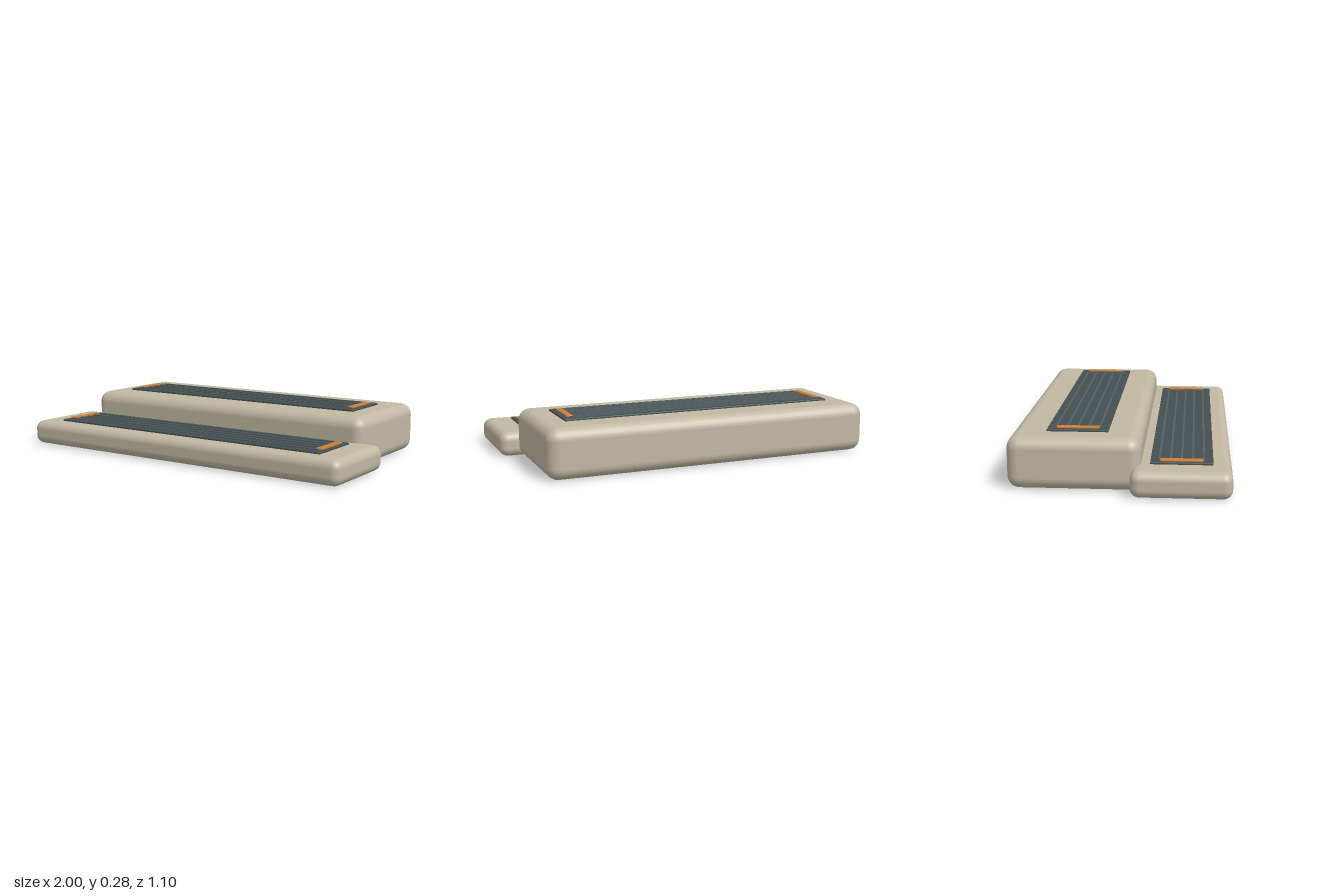
import * as THREE from 'three';
import { RoundedBoxGeometry } from 'three/addons/geometries/RoundedBoxGeometry.js';

const material = (color) => new THREE.MeshStandardMaterial({ color });

const stone = material(0xc2b8a3);
const rubber = material(0x455052);
const ribGrey = material(0x566264);
const orange = material(0xcc7f36);

function add(parent, name, geometry, mat, x, y, z) {
  const mesh = new THREE.Mesh(geometry, mat);
  mesh.name = name;
  mesh.position.set(x, y, z);
  parent.add(mesh);
}

// One rounded step with a ribbed tread pad and an orange marker at each end
function makeStep(name, { width, height, depth, z, radius, padWidth, padZ, markerX }) {
  const step = new THREE.Group();
  step.name = name;

  add(step, 'stepBody', new RoundedBoxGeometry(width, height, depth, 4, radius), stone, 0, height / 2, z);

  // Tread pad, slightly sunk into the body
  const padTop = height + 0.01;
  add(step, 'treadPad', new RoundedBoxGeometry(padWidth, 0.014, 0.305, 2, 0.004), rubber, 0, padTop - 0.007, padZ);

  // Raised grip ribs running along the pad
  for (let i = -2; i <= 2; i++) {
    add(step, 'gripRib', new THREE.BoxGeometry(markerX * 2, 0.007, 0.009), ribGrey,
      0, padTop + 0.0025, padZ + i * 0.054);
  }

  // End markers
  for (const side of [-1, 1]) {
    add(step, side > 0 ? 'leftMarker' : 'rightMarker',
      new RoundedBoxGeometry(0.034, 0.01, 0.21, 2, 0.003), orange, side * markerX, padTop + 0.004, padZ);
  }
  return step;
}

export function createModel() {
  const model = new THREE.Group();
  model.name = 'doubleStep';
  model.add(
    makeStep('lowerStep', {
      width: 2, height: 0.132, depth: 0.49, z: 0.303, radius: 0.046,
      padWidth: 1.7, padZ: 0.303, markerX: 0.817,
    }),
    makeStep('upperStep', {
      width: 1.8, height: 0.263, depth: 0.656, z: -0.22, radius: 0.062,
      padWidth: 1.52, padZ: -0.212, markerX: 0.72,
    }),
  );
  return model;
}
